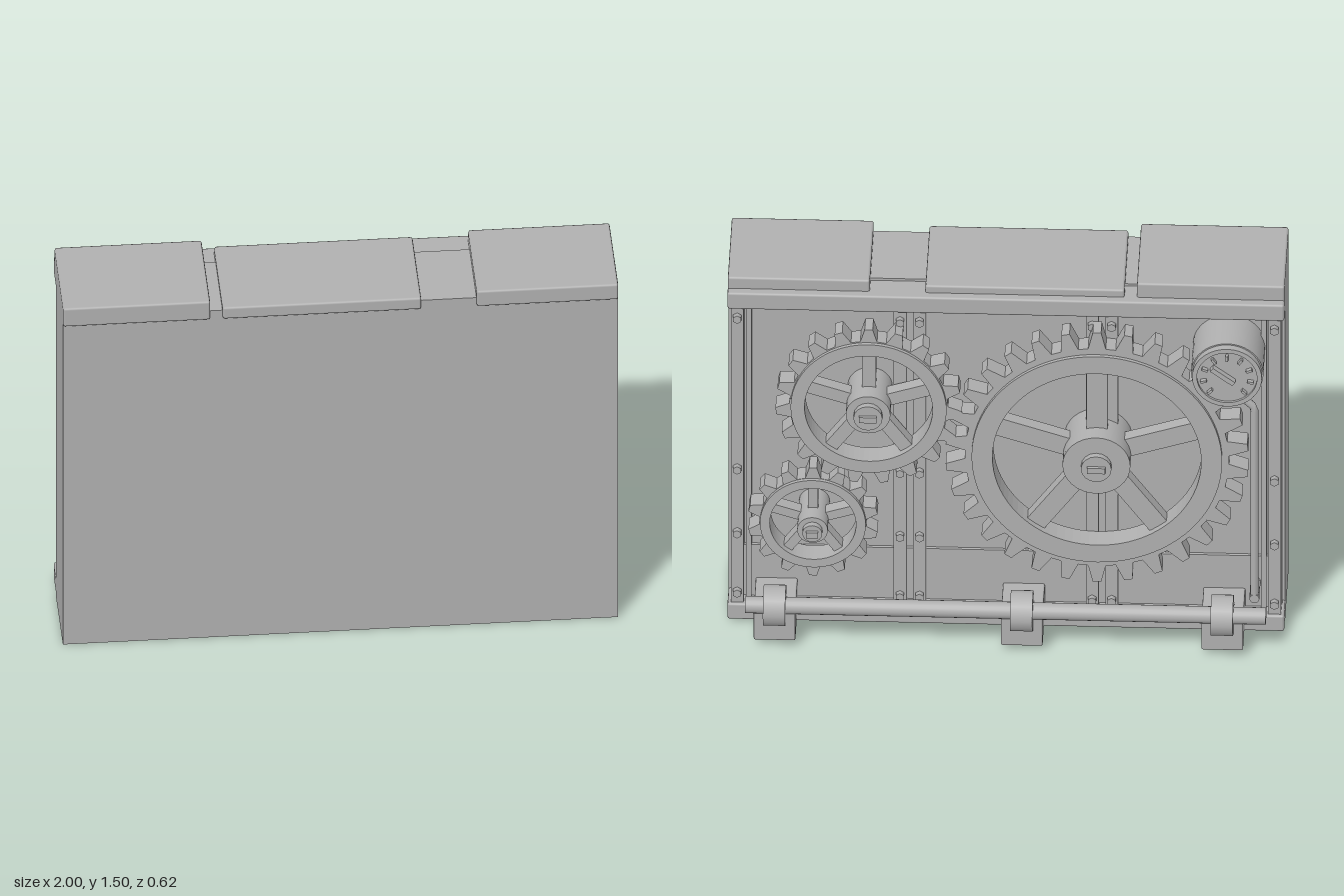
import * as THREE from 'three';
import { RoundedBoxGeometry } from 'three/addons/geometries/RoundedBoxGeometry.js';

const grey = new THREE.MeshStandardMaterial({ color: 0xb0b0b0 });
grey.name = 'plain grey';

function add(parent, name, geometry, x = 0, y = 0, z = 0) {
  const mesh = new THREE.Mesh(geometry, grey);
  mesh.name = name;
  mesh.position.set(x, y, z);
  parent.add(mesh);
  return mesh;
}

// Box given by its extents; r > 0 softens the edges
function block(parent, name, [x0, x1], [y0, y1], [z0, z1], r = 0) {
  const size = [x1 - x0, y1 - y0, z1 - z0];
  const geometry = r ? new RoundedBoxGeometry(...size, 1, r) : new THREE.BoxGeometry(...size);
  return add(parent, name, geometry, (x0 + x1) / 2, (y0 + y1) / 2, (z0 + z1) / 2);
}

// Cylinder along z from z0 to z1
function disc(parent, name, r, z0, z1, x = 0, y = 0, sides = 32) {
  const geometry = new THREE.CylinderGeometry(r, r, z1 - z0, sides).rotateX(Math.PI / 2);
  return add(parent, name, geometry, x, y, (z0 + z1) / 2);
}

function extrude(shape, hole, z0, z1) {
  shape.holes.push(new THREE.Path().absarc(0, 0, hole, 0, Math.PI * 2, true));
  return new THREE.ExtrudeGeometry(shape, { depth: z1 - z0, bevelEnabled: false, curveSegments: 40 })
    .translate(0, 0, z0);
}

function toothShape(root, tip, count) {
  const points = [];
  const step = (Math.PI * 2) / count;
  for (let i = 0; i < count; i++) {
    for (const [f, r] of [[-0.32, root], [-0.13, tip], [0.13, tip], [0.32, root]]) {
      const a = Math.PI / 2 + (i + f) * step;
      points.push(new THREE.Vector2(Math.cos(a) * r, Math.sin(a) * r));
    }
  }
  return new THREE.Shape(points);
}

// Spoked gear facing +z
function gear(parent, name, x, y, { root, tip, teeth, rim, hole, hub, spoke }) {
  const g = new THREE.Group();
  g.name = name;
  g.position.set(x, y, 0);
  parent.add(g);
  add(g, 'toothedRing', extrude(toothShape(root, tip, teeth), hole, 0.09, 0.162));
  add(g, 'rim', extrude(new THREE.Shape().absarc(0, 0, rim, 0, Math.PI * 2), hole, 0.162, 0.176));
  for (let i = 0; i < 5; i++) {
    const a = Math.PI / 2 + (i * Math.PI * 2) / 5;
    const length = hole + 0.015;
    const s = add(g, 'spoke', new THREE.BoxGeometry(length, spoke, 0.05),
      Math.cos(a) * length / 2, Math.sin(a) * length / 2, 0.125);
    s.rotation.z = a;
  }
  disc(g, 'hub', hub, 0.03, 0.215);
  const cap = Math.min(0.055, hub * 0.65);
  disc(g, 'axleCap', cap, 0.215, 0.238, 0, 0, 16);
  block(g, 'axleKey', [-cap * 0.6, cap * 0.6], [-0.012, 0.012], [0.238, 0.25]);
}

function gauge(parent, x, y) {
  const g = new THREE.Group();
  g.name = 'gauge';
  g.position.set(x, y, 0);
  parent.add(g);
  disc(g, 'gaugeBody', 0.13, 0.03, 0.212, 0, 0, 40);
  disc(g, 'gaugeFace', 0.115, 0.212, 0.23, 0, 0, 40);
  add(g, 'bezel', extrude(new THREE.Shape().absarc(0, 0, 0.125, 0, Math.PI * 2), 0.108, 0.212, 0.24));
  for (let i = 0; i < 9; i++) {
    const a = -Math.PI / 4 + (i * Math.PI * 1.5) / 8;
    const tick = add(g, 'tick', new THREE.BoxGeometry(0.022, 0.009, 0.02),
      Math.cos(a) * 0.086, Math.sin(a) * 0.086, 0.236);
    tick.rotation.z = a;
  }
  const needle = add(g, 'needle', new THREE.BoxGeometry(0.1, 0.018, 0.024), -0.015, 0.012, 0.242);
  needle.rotation.z = -0.65;
}

export function createModel() {
  const model = new THREE.Group();
  model.name = 'gearWall';

  // Wall body and capstones
  block(model, 'body', [-1, 1], [0, 1.45], [0, 0.295]);
  block(model, 'capRight', [-1, -0.47], [1.42, 1.5], [-0.07, 0.31], 0.008);
  block(model, 'capMiddle', [-0.425, 0.29], [1.42, 1.47], [-0.07, 0.31], 0.008);
  block(model, 'capLeft', [0.49, 1], [1.42, 1.487], [-0.07, 0.31], 0.008);

  // Machinery is laid out facing +z, then turned to the back
  const rear = new THREE.Group();
  rear.name = 'rearMachinery';
  rear.rotation.y = Math.PI;
  model.add(rear);

  // Frame and panel
  block(rear, 'backPanel', [-0.99, 0.99], [0.05, 1.4], [-0.01, 0.03]);
  block(rear, 'lowerPlate', [-0.95, 0.95], [0.07, 0.3], [0.03, 0.042]);
  block(rear, 'topRail', [-1, 1], [1.37, 1.44], [-0.01, 0.102], 0.008);
  block(rear, 'bottomRail', [-1, 1], [0.012, 0.08], [-0.01, 0.102], 0.008);

  // Bolted uprights: one at each end and two pairs between
  for (const x of [-0.965, -0.38, -0.31, 0.31, 0.38, 0.965]) {
    block(rear, 'upright', [x - 0.023, x + 0.023], [0.07, 1.38], [0.02, 0.09]);
    for (const y of [0.13, 0.39, 0.67, 1.33]) disc(rear, 'bolt', 0.017, 0.09, 0.11, x, y, 6);
  }
  for (const side of [-1, 1]) {
    const x = side * 0.925;
    block(rear, 'innerStrip', [x - 0.01, x + 0.01], [0.07, 1.38], [0.02, 0.055]);
  }

  // Gear train
  gear(rear, 'largeGear', 0.33, 0.8,
    { root: 0.475, tip: 0.545, teeth: 30, rim: 0.45, hole: 0.375, hub: 0.122, spoke: 0.075 });
  gear(rear, 'mediumGear', -0.49, 1.0,
    { root: 0.285, tip: 0.335, teeth: 19, rim: 0.28, hole: 0.23, hub: 0.08, spoke: 0.05 });
  gear(rear, 'smallGear', -0.69, 0.49,
    { root: 0.192, tip: 0.235, teeth: 14, rim: 0.19, hole: 0.155, hub: 0.055, spoke: 0.036 });

  // Gauge and its pipe
  gauge(rear, 0.8, 1.215);
  const pipe = new THREE.CurvePath();
  const stops = [[0.8, 1.11], [0.895, 1.02], [0.895, 0.18]].map(([x, y]) => new THREE.Vector3(x, y, 0.14));
  pipe.add(new THREE.LineCurve3(stops[0], stops[1]));
  pipe.add(new THREE.LineCurve3(stops[1], stops[2]));
  add(rear, 'gaugePipe', new THREE.TubeGeometry(pipe, 40, 0.015, 8));
  disc(rear, 'pipeEnd', 0.018, 0.03, 0.155, 0.895, 0.19, 12);

  // Shaft on three brackets
  const along = (r, length, sides) => new THREE.CylinderGeometry(r, r, length, sides).rotateZ(Math.PI / 2);
  add(rear, 'shaft', along(0.031, 1.87, 20), 0.005, 0.17, 0.232);
  for (const x of [-0.825, 0.063, 0.783]) {
    block(rear, 'bracket', [x - 0.075, x + 0.075], [0.028, 0.157], [0.03, 0.25], 0.006);
    add(rear, 'collar', along(0.075, 0.08, 16), x, 0.17, 0.232);
  }
  return model;
}
